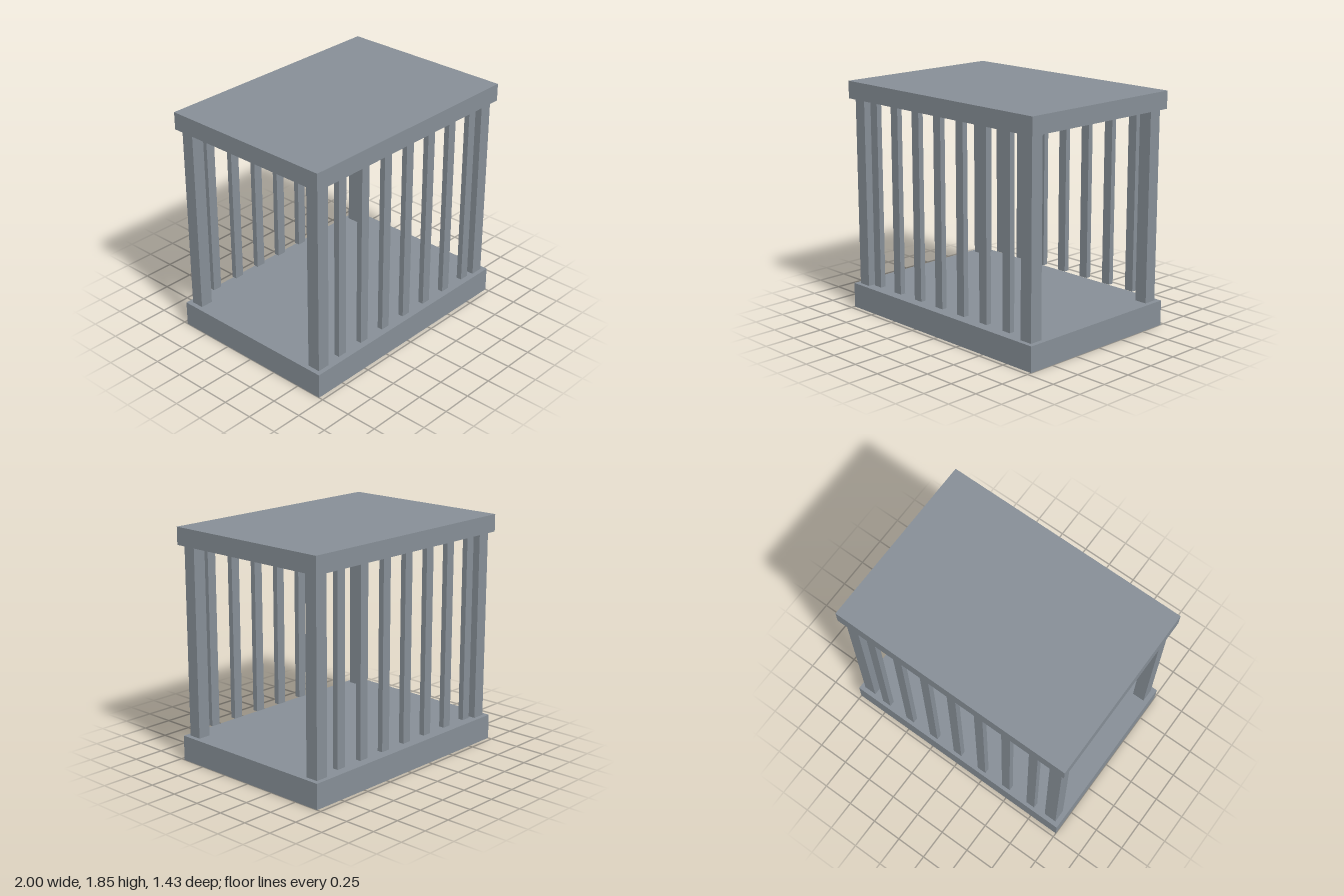
import * as THREE from 'three';

export function createModel() {
  const group = new THREE.Group();
  const metal = new THREE.MeshStandardMaterial({ color: 0x868e96 });
  metal.name = 'grey metal';

  // Box placed by its bottom height
  function box(name, w, h, d, x, bottom, z) {
    const mesh = new THREE.Mesh(new THREE.BoxGeometry(w, h, d), metal);
    mesh.name = name;
    mesh.position.set(x, bottom + h / 2, z);
    group.add(mesh);
  }

  // Floor and roof slabs
  box('floor', 2, 0.2, 1.43, 0, 0, 0);
  box('roof', 2, 0.138, 1.43, 0, 1.707, 0);

  for (const side of [1, -1]) {
    // Corner posts
    for (const end of [1, -1]) {
      box('cornerPost', 0.104, 1.507, 0.104, end * 0.91, 0.2, side * 0.627);
    }
    // Bars hang from the roof, just short of the floor
    for (let i = -3; i <= 3; i++) {
      box(side > 0 ? 'frontBar' : 'backBar', 0.076, 1.477, 0.044, i * 0.2416, 0.23, side * 0.671);
    }
  }
  return group;
}
